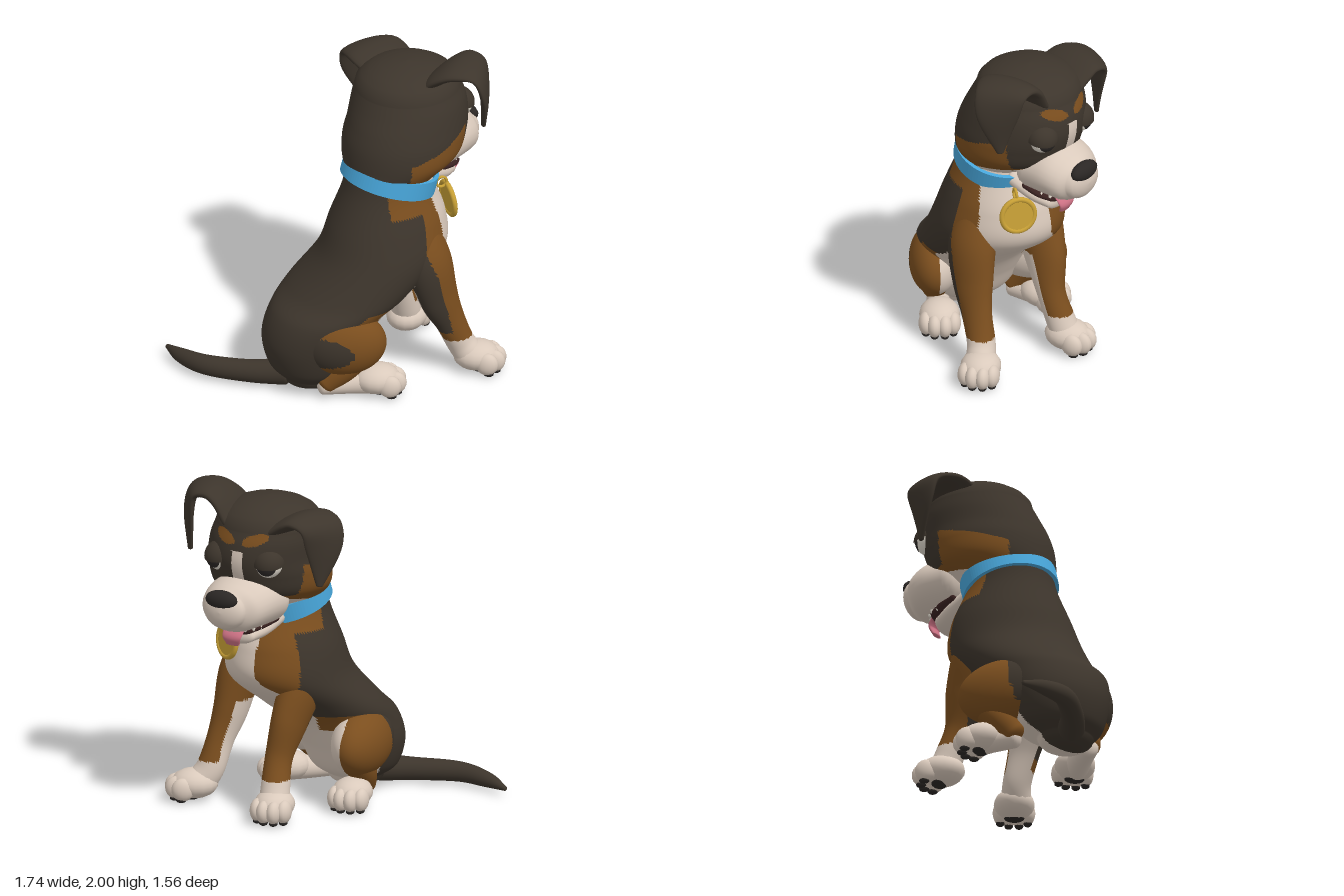
import * as THREE from 'three';

const flat = (name, color) => Object.assign(new THREE.MeshStandardMaterial({ color }), { name });
const M = {
  black: flat('dark coat', 0x3d352c), brown: flat('brown coat', 0x7b4e1e), cream: flat('cream coat', 0xdacabc),
  nose: flat('nose and pads', 0x2b2725), mouth: flat('mouth lining', 0x3c2422), tongue: flat('tongue pink', 0xcf7386),
  blue: flat('collar blue', 0x48a6da), gold: flat('tag gold', 0xc9a136), eye: flat('eye white', 0xe6dfd2),
};
const V = (x, y, z) => new THREE.Vector3(x, y, z);

// Make a mesh; paint is a colour name, or a rule (point, normal) => colour name applied per face
function painted(name, geo, paint) {
  let mesh;
  if (typeof paint === 'string') mesh = new THREE.Mesh(geo, M[paint]);
  else {
    const { position: P, normal: N } = geo.attributes, ix = geo.index.array, bins = {}, v = V(0, 0, 0);
    for (let i = 0; i < ix.length; i += 3) {
      const p = V(0, 0, 0), n = V(0, 0, 0);
      for (let k = 0; k < 3; k++) {
        p.addScaledVector(v.fromBufferAttribute(P, ix[i + k]), 1 / 3);
        n.add(v.fromBufferAttribute(N, ix[i + k]));
      }
      (bins[paint(p, n.normalize())] ??= []).push(ix[i], ix[i + 1], ix[i + 2]);
    }
    const keys = Object.keys(bins), order = [];
    keys.forEach((key, m) => {
      geo.addGroup(order.length, bins[key].length, m);
      for (const id of bins[key]) order.push(id);
    });
    geo.setIndex(order);
    mesh = new THREE.Mesh(geo, keys.map(key => M[key]));
  }
  mesh.name = name;
  return mesh;
}

// Smooth elliptical loft with rounded ends; stations are [x, y, z, radius along side, other radius];
// the side direction turns from side to twist along the way
function loft(name, stations, paint, { axis, side = V(1, 0, 0), twist = side, rows = 24, sides = 28, cap = 0.6 } = {}) {
  const path = new THREE.CatmullRomCurve3(stations.map(s => V(s[0], s[1], s[2])), false, 'catmullrom');
  const size = new THREE.CatmullRomCurve3(stations.map(s => V(s[3], s[4] ?? s[3], 0)), false, 'catmullrom');
  const caps = 6, pos = [], idx = [], rings = [];
  for (let i = 0; i < caps; i++) rings.push([0, -Math.cos(i / caps * Math.PI / 2), Math.sin(i / caps * Math.PI / 2)]);
  for (let i = 0; i <= rows; i++) rings.push([i / rows, 0, 1]);
  for (let i = caps - 1; i >= 0; i--) rings.push([1, Math.cos(i / caps * Math.PI / 2), Math.sin(i / caps * Math.PI / 2)]);
  rings.forEach(([u, push, shrink], i) => {
    const t = axis ?? path.getTangent(u), r = size.getPoint(u), a = side.clone().lerp(twist, u);
    const c = path.getPoint(u).addScaledVector(t, push * cap * Math.min(r.x, r.y));
    a.addScaledVector(t, -a.dot(t)).normalize();
    const b = t.clone().cross(a);
    for (let j = 0; j < sides; j++) {
      const w = j / sides * Math.PI * 2;
      const p = c.clone().addScaledVector(a, Math.cos(w) * r.x * shrink).addScaledVector(b, Math.sin(w) * r.y * shrink);
      pos.push(p.x, p.y, p.z);
      if (i < rings.length - 1) {
        const k = i * sides + j, l = i * sides + (j + 1) % sides;
        idx.push(k, l, k + sides, l, l + sides, k + sides);
      }
    }
  });
  const geo = new THREE.BufferGeometry();
  geo.setAttribute('position', new THREE.Float32BufferAttribute(pos, 3));
  geo.setIndex(idx);
  geo.computeVertexNormals();
  return painted(name, geo, paint);
}

// Ellipsoid
function blob(name, paint, at, radii, yaw = 0, detail = 16) {
  const m = painted(name, new THREE.SphereGeometry(1, detail, Math.ceil(detail * 0.7)), paint);
  m.position.set(...at);
  m.scale.set(...radii);
  m.rotation.y = yaw;
  return m;
}

// Paw pointing to its own -z, with four toes and dark pads
function paw(name, x, z, yaw) {
  const g = new THREE.Group();
  g.name = name;
  g.position.set(x, 0, z);
  g.rotation.y = yaw;
  g.add(blob('palm', 'cream', [0, 0.1, 0.015], [0.12, 0.09, 0.14]), blob('mainPad', 'nose', [0, 0.022, 0], [0.06, 0.02, 0.045]));
  for (const [tx, tz] of [[-0.08, -0.055], [-0.03, -0.09], [0.03, -0.09], [0.08, -0.055]])
    g.add(blob('toe', 'cream', [tx, 0.08, tz], [0.045, 0.07, 0.068]), blob('toePad', 'nose', [tx, 0.018, tz - 0.01], [0.026, 0.018, 0.032], 0, 10));
  return g;
}

// Coat patterns
const bodyCoat = (p, n) => {
  const facing = n.x * 0.5 - n.z * 0.87, lateral = n.x * 0.87 + n.z * 0.5;
  if (facing > 0 && ((lateral > -0.5 && lateral < 0.7) || p.y < 0.45)) return 'cream';
  if (p.y < 0.555) return facing > 0 ? 'brown' : 'black';
  return (p.x - 0.235) * 0.5 - (p.z + 0.06) * 0.87 > (p.y > 1.11 ? -0.1 : 0.11) ? 'brown' : 'black';
};
const headCoat = p => {
  const d = Math.abs(p.x - 0.25), face = p.z < -0.38;
  if (face && d < 0.035 && p.y < 1.67) return 'cream';
  if (face && ((d - 0.1) / 0.075) ** 2 + ((p.y - 1.74 - (d - 0.1) * 0.25) / 0.035) ** 2 < 1) return 'brown';
  if (p.z < -0.1 && p.y < 1.27 - p.z * 0.2) return 'cream';
  if (face && p.y > 1.38) return 'black';
  return p.z < 0.06 && p.y < 1.46 - p.z * 0.3 ? 'brown' : 'black';
};
const foreCoat = (s, rear, innerEdge) => (p, n) => {
  if (p.y < 0.24 || (n.x * s < -0.3 && n.z > innerEdge && p.y < 0.6)) return 'cream';
  return p.z > rear + (p.y - 0.6) * 0.28 && p.y > 0.3 ? 'black' : 'brown';
};
const leftHaunchCoat = p => {
  if (p.x < -0.2 && p.z < 0) return 'cream';
  return ((p.z - 0.6) / 0.8) ** 2 + ((p.y + 0.08) / 0.5) ** 2 < 1 ? 'black' : 'brown';
};
const rightHaunchCoat = p => {
  if (p.x > 0.2 && p.z < 0) return 'cream';
  return p.z > 0.25 - p.y * 0.15 && p.y > -0.6 ? 'black' : 'brown';
};

export function createModel() {
  const dog = new THREE.Group();
  dog.name = 'sittingPuppy';
  const up = V(0, 1, 0), ahead = V(0, 0, -1), zSide = V(0, 0, 1);

  // Torso and tail
  dog.add(loft('torso', [
    [0.03, 0.08, 0.42, 0.17, 0.16], [0.02, 0.16, 0.39, 0.26, 0.25], [0.025, 0.32, 0.36, 0.315, 0.31],
    [0.07, 0.48, 0.29, 0.345, 0.34], [0.13, 0.6, 0.17, 0.375, 0.345], [0.22, 0.8, -0.015, 0.365, 0.40],
    [0.235, 1.0, -0.06, 0.33, 0.36], [0.24, 1.2, -0.06, 0.265, 0.275], [0.24, 1.34, -0.06, 0.25, 0.24],
  ], bodyCoat, { axis: up, rows: 100, sides: 120, cap: 0.45 }));
  dog.add(loft('tail', [[-0.08, 0.09, 0.52, 0.08], [-0.25, 0.08, 0.62, 0.068], [-0.5, 0.075, 0.71, 0.06],
    [-0.7, 0.06, 0.69, 0.045], [-0.85, 0.045, 0.63, 0.014]], 'black', { side: up }));

  // Forelegs
  dog.add(loft('leftForeleg', [[0.45, 0.98, -0.08, 0.1, 0.12], [0.525, 0.76, -0.08, 0.115, 0.155], [0.565, 0.53, -0.12, 0.095, 0.135],
    [0.6, 0.36, -0.18, 0.077, 0.1], [0.63, 0.2, -0.24, 0.084], [0.67, 0.12, -0.27, 0.088]], foreCoat(1, -0.05, -0.6), { rows: 56, sides: 48 }));
  dog.add(loft('rightForeleg', [[0.09, 0.98, -0.13, 0.1, 0.12], [0.06, 0.78, -0.18, 0.12, 0.16], [0.09, 0.56, -0.27, 0.1, 0.14],
    [0.12, 0.36, -0.34, 0.08, 0.09], [0.11, 0.2, -0.4, 0.086], [0.1, 0.12, -0.43, 0.09]], foreCoat(-1, -0.19, 0), { rows: 56, sides: 48 }));
  dog.add(paw('leftForepaw', 0.72, -0.31, -1.04), paw('rightForepaw', 0.09, -0.46, 0.2));

  // Hind legs
  dog.add(blob('leftHaunch', leftHaunchCoat, [0.28, 0.36, 0.42], [0.15, 0.2, 0.25], -0.856, 56));
  dog.add(blob('rightHaunch', rightHaunchCoat, [-0.17, 0.37, 0.14], [0.165, 0.2, 0.3], 0.16, 56));
  dog.add(loft('leftShank', [[0.38, 0.32, 0.32, 0.08], [0.29, 0.2, 0.41, 0.082], [0.2, 0.1, 0.48, 0.07]], 'brown'));
  dog.add(loft('rightShank', [[-0.2, 0.32, -0.02, 0.085], [-0.19, 0.2, 0.1, 0.085], [-0.16, 0.1, 0.18, 0.07]], 'brown'));
  dog.add(loft('leftHindFoot', [[0.18, 0.075, 0.49, 0.06], [0.3, 0.08, 0.37, 0.07], [0.42, 0.085, 0.27, 0.08]], 'cream', { side: up }));
  dog.add(loft('rightHindFoot', [[-0.15, 0.075, 0.18, 0.06], [-0.17, 0.08, 0.05, 0.07], [-0.19, 0.085, -0.05, 0.08]], 'cream', { side: up }));
  dog.add(paw('leftHindPaw', 0.42, 0.26, -0.856), paw('rightHindPaw', -0.19, -0.03, 0.16));

  // Head
  dog.add(loft('head', [
    [0.25, 1.22, -0.07, 0.2, 0.2], [0.25, 1.3, -0.1, 0.265, 0.29], [0.25, 1.39, -0.175, 0.335, 0.365],
    [0.25, 1.5, -0.21, 0.35, 0.385], [0.25, 1.6, -0.24, 0.34, 0.38], [0.24, 1.7, -0.26, 0.33, 0.35],
    [0.23, 1.78, -0.265, 0.31, 0.315],
  ], headCoat, { axis: up, rows: 100, sides: 120, cap: 0.48 }));

  // Muzzle, jaw, mouth and tongue
  dog.add(loft('muzzle', [[0.25, 1.34, -0.4, 0.225, 0.165], [0.26, 1.345, -0.55, 0.22, 0.165],
    [0.27, 1.33, -0.65, 0.19, 0.145], [0.28, 1.33, -0.705, 0.135, 0.115]], 'cream', { axis: ahead }));
  dog.add(loft('mouthLining', [[0.26, 1.22, -0.38, 0.165, 0.05], [0.275, 1.2, -0.48, 0.15, 0.045],
    [0.28, 1.18, -0.56, 0.11, 0.035]], 'mouth', { axis: ahead }));
  dog.add(loft('lowerJaw', [[0.26, 1.22, -0.28, 0.17, 0.085], [0.27, 1.165, -0.42, 0.145, 0.072],
    [0.28, 1.13, -0.53, 0.1, 0.05]], 'cream', { axis: ahead }));
  dog.add(loft('tongue', [[0.28, 1.19, -0.42, 0.07, 0.016], [0.285, 1.19, -0.55, 0.07, 0.016],
    [0.29, 1.14, -0.605, 0.062, 0.016], [0.29, 1.09, -0.59, 0.045, 0.013]], 'tongue'));
  dog.add(blob('nose', 'nose', [0.285, 1.4, -0.735], [0.105, 0.058, 0.05]));
  for (let i = 0; i < 8; i++) {
    const w = (i - 3.5) * 0.36;
    dog.add(blob('tooth', 'eye', [0.275 + Math.sin(w) * 0.13, 1.195, -0.46 - Math.cos(w) * 0.15], [0.012, 0.022, 0.012], 0, 8));
  }

  // Eyes with irises and upper lids
  for (const s of [-1, 1]) {
    const eye = new THREE.Group();
    eye.name = s > 0 ? 'leftEye' : 'rightEye';
    eye.position.set(0.25 + s * 0.16, 1.595, -0.52);
    eye.rotation.y = -s * 0.3;
    const iris = painted('iris', new THREE.SphereGeometry(0.089, 24, 12, 0, Math.PI * 2, 0, 0.75), 'nose');
    iris.rotation.x = -Math.PI / 2;
    const lid = painted('upperLid', new THREE.SphereGeometry(0.097, 24, 12, 0, Math.PI * 2, 0, Math.PI / 2), 'black');
    lid.rotation.x = -0.2;
    eye.add(blob('eyeball', 'eye', [0, 0, 0], [0.086, 0.086, 0.086], 0, 24), iris, lid);
    dog.add(eye);
  }

  // Folded ears, one carried higher than the other, flaps turned to face forward and out
  dog.add(loft('leftEar', [[0.38, 1.8, -0.35, 0.19, 0.05], [0.46, 1.9, -0.355, 0.195, 0.05], [0.55, 1.95, -0.37, 0.18, 0.048],
    [0.65, 1.93, -0.4, 0.15, 0.035], [0.685, 1.8, -0.41, 0.12, 0.028], [0.67, 1.575, -0.42, 0.022, 0.014]],
  'black', { side: zSide, twist: V(0.67, 0, 0.74), rows: 36 }));
  dog.add(loft('rightEar', [[0.1, 1.77, -0.35, 0.19, 0.05], [-0.03, 1.835, -0.355, 0.195, 0.048], [-0.12, 1.85, -0.375, 0.18, 0.045],
    [-0.2, 1.81, -0.4, 0.15, 0.035], [-0.215, 1.69, -0.405, 0.12, 0.028], [-0.195, 1.475, -0.42, 0.022, 0.014]],
  'black', { side: zSide, twist: V(-0.63, 0, 0.77), rows: 36 }));

  // Collar band
  const ring = new THREE.Shape().absarc(0, 0, 0.285, 0, Math.PI * 2);
  ring.holes.push(new THREE.Path().absarc(0, 0, 0.262, 0, Math.PI * 2, true));
  const band = new THREE.ExtrudeGeometry(ring, { depth: 0.11, bevelEnabled: false, curveSegments: 48 });
  const collar = painted('collar', band.translate(0, 0, -0.055).rotateX(-Math.PI / 2), 'blue');
  collar.position.set(0.243, 1.27, -0.075);
  collar.rotation.set(-0.26, 0, -0.12);
  dog.add(collar);

  // Hanging tag
  const tag = new THREE.Group();
  tag.name = 'tag';
  tag.position.set(0.45, 1.03, -0.37);
  tag.quaternion.setFromUnitVectors(zSide, V(0.5, 0.1, -0.85).normalize());
  tag.add(painted('disc', new THREE.CylinderGeometry(0.1, 0.1, 0.02, 40).rotateX(Math.PI / 2), 'gold'));
  tag.add(painted('rim', new THREE.TorusGeometry(0.1, 0.016, 10, 40), 'gold'));
  const loop = painted('tagLoop', new THREE.TorusGeometry(0.032, 0.009, 8, 20), 'gold');
  loop.position.set(0.43, 1.15, -0.33);
  loop.rotation.y = 1.0;
  dog.add(tag, loop);

  return dog;
}
